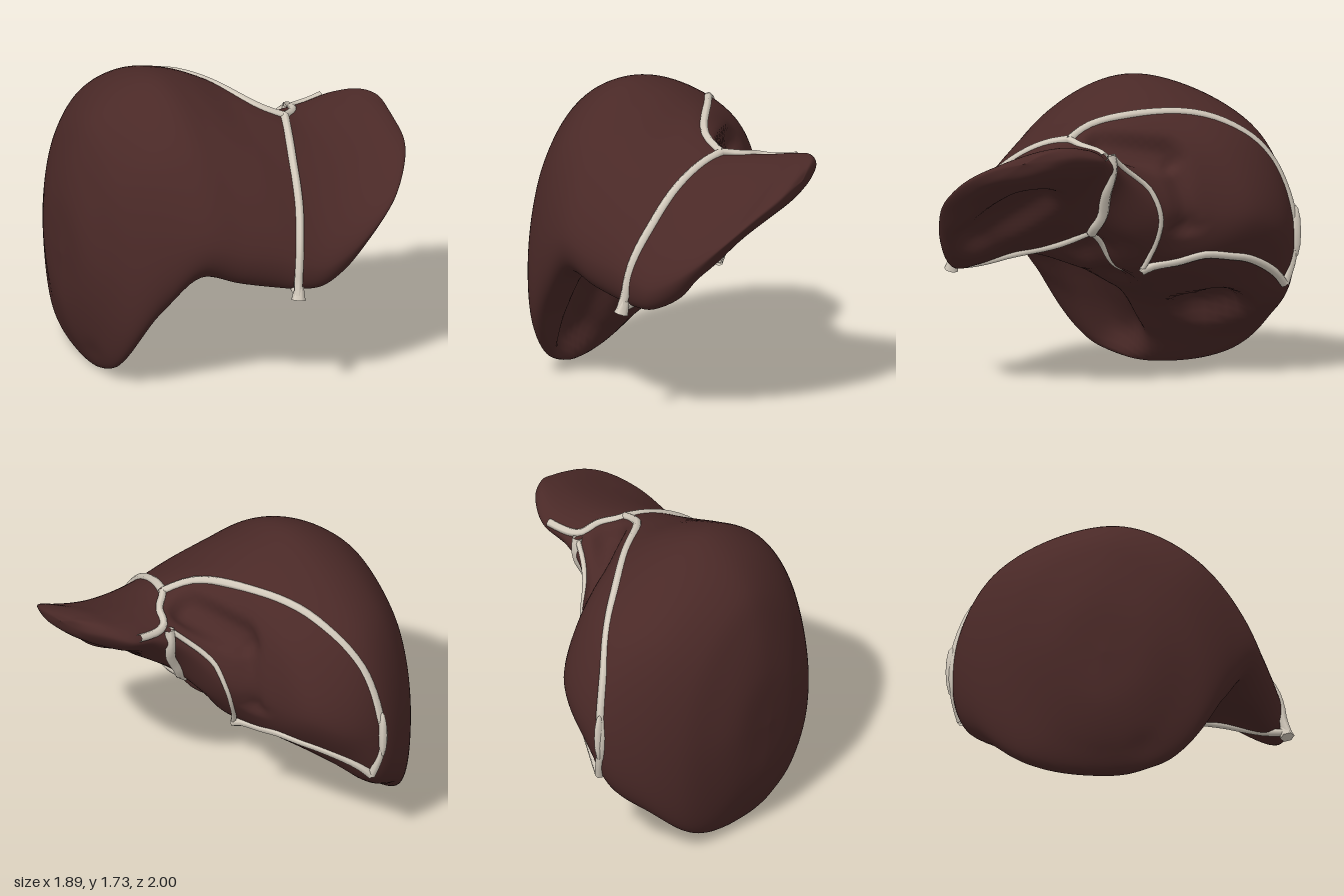
import * as THREE from 'three';
import { mergeVertices } from 'three/addons/utils/BufferGeometryUtils.js';

// Cross-sections: x, then nine z,y pairs running back, top, front, underside
const rightLobe = [
  [-0.93, -.34, .75, -.26, .97, -.09, 1.06, .10, .95, .18, .75, .14, .53, .03, .40, -.10, .36, -.26, .50],
  [-0.86, -.53, .72, -.41, 1.13, -.08, 1.33, .22, 1.13, .36, .75, .31, .41, .14, .19, -.08, .13, -.38, .26],
  [-0.77, -.70, .72, -.53, 1.27, -.06, 1.51, .33, 1.27, .51, .77, .48, .35, .28, .09, -.07, 0, -.57, .14],
  [-0.60, -.87, .76, -.65, 1.40, -.03, 1.66, .43, 1.43, .66, .88, .61, .57, .32, .38, -.08, .18, -.77, .31],
  [-0.40, -.96, .84, -.73, 1.43, -.01, 1.73, .50, 1.48, .78, .96, .72, .78, .37, .65, -.05, .41, -.85, .44],
  [-0.20, -.93, .88, -.71, 1.41, -.04, 1.69, .55, 1.42, .85, .90, .78, .72, .42, .70, 0, .52, -.72, .60],
  [0.00, -.79, .98, -.58, 1.38, -.05, 1.60, .59, 1.35, .90, .87, .84, .68, .46, .73, .03, .61, -.53, .73],
];
const leftLobe = [
  [0.12, -.51, 1.0, -.39, 1.31, .05, 1.54, .60, 1.31, .93, .84, .89, .67, .52, .75, .10, .68, -.30, .78],
  [0.25, -.29, 1.05, -.20, 1.28, .15, 1.48, .60, 1.28, .96, .80, .91, .67, .55, .80, .15, .87, -.15, .90],
  [0.40, -.11, 1.25, -.04, 1.37, .20, 1.43, .60, 1.26, .96, .86, .89, .74, .56, .87, .20, 1.0, 0, 1.10],
  [0.55, -.06, 1.34, 0, 1.41, .20, 1.43, .60, 1.26, .94, .96, .86, .88, .56, .99, .25, 1.10, .03, 1.22],
  [0.72, -.05, 1.39, .02, 1.45, .22, 1.45, .60, 1.29, .88, 1.11, .80, 1.08, .55, 1.13, .28, 1.20, .06, 1.28],
  [0.85, .05, 1.43, .10, 1.48, .25, 1.47, .53, 1.37, .74, 1.25, .68, 1.22, .50, 1.23, .30, 1.27, .13, 1.34],
  [0.92, .16, 1.43, .20, 1.47, .30, 1.45, .45, 1.40, .59, 1.33, .54, 1.30, .42, 1.31, .30, 1.34, .21, 1.38],
];
const SIDES = 9;

// Hollows: a line, radius, depth, and how far up a face may still look (normal y)
const hollows = [
  // Gall bladder bed and kidney dent
  { from: [-.33, .64, .32], to: [-.66, .2, .12], radius: .15, depth: .11, up: .2 },
  { from: [-.42, .42, -.40], to: [-.38, .45, -.53], radius: .14, depth: .1, up: .2 },
  // Stomach dent under the left lobe
  { from: [.45, .93, .72], to: [.62, 1.14, .38], radius: .15, depth: .09, up: .2 },
  // Gateway of the vessels
  { from: [.18, .8, .1], to: [-.05, .62, .03], radius: .1, depth: .05, up: .2 },
  // Vein groove over the top and down beside the tail lobe
  { from: [.29, 1.42, .02], to: [.14, 1.34, -.3], radius: .09, depth: .07, up: 1.5 },
  { from: [.13, 1.3, -.36], to: [.12, .95, -.42], radius: .07, depth: .04, up: 1.5 },
];

const vec = (p) => new THREE.Vector3(...p);

// Smooth skin through all cross-sections, closed to a point at both ends
function skinGeometry(along = 150, around = 120) {
  const rings = [...rightLobe, ...leftLobe].map(([x, ...s]) =>
    Array.from({ length: SIDES }, (_, i) => new THREE.Vector3(x, s[2 * i + 1], s[2 * i])));
  const tip = (x, y, z) => Array.from({ length: SIDES }, () => new THREE.Vector3(x, y, z));
  rings.unshift(tip(-.95, .7, -.08));
  rings.push(tip(.945, 1.4, .36));
  const guides = Array.from({ length: SIDES }, (_, i) =>
    new THREE.CatmullRomCurve3(rings.map((r) => r[i])));

  const positions = [], index = [];
  for (let u = 0; u <= along; u++) {
    // Ends are sampled more finely so that they stay round
    const t = u / along;
    const ease = t - Math.sin(2 * Math.PI * t) * .1;
    const knots = guides.map((g) => g.getPoint(ease));
    const atTip = u === 0 || u === along;
    const ring = atTip ? null : new THREE.CatmullRomCurve3(knots, true);
    for (let v = 0; v < around; v++) {
      const p = atTip ? knots[0] : ring.getPoint(v / around);
      positions.push(p.x, p.y, p.z);
      if (u < along) {
        const a = u * around + v, b = u * around + (v + 1) % around;
        index.push(a, b, a + around, b, b + around, a + around);
      }
    }
  }
  let geometry = new THREE.BufferGeometry();
  geometry.setAttribute('position', new THREE.Float32BufferAttribute(positions, 3));
  geometry.setIndex(index);
  geometry = mergeVertices(geometry, 1e-5);
  geometry.computeVertexNormals();
  pressHollows(geometry);
  geometry.computeVertexNormals();
  return geometry;
}

// Push the skin inwards near each hollow
function pressHollows(geometry) {
  const pos = geometry.attributes.position, nor = geometry.attributes.normal;
  const p = new THREE.Vector3(), n = new THREE.Vector3(), c = new THREE.Vector3();
  for (const h of hollows) {
    const line = new THREE.Line3(vec(h.from), vec(h.to));
    for (let i = 0; i < pos.count; i++) {
      p.fromBufferAttribute(pos, i);
      n.fromBufferAttribute(nor, i);
      const facing = THREE.MathUtils.smoothstep(-n.y, -h.up, .5 - h.up);
      const d = line.closestPointToPoint(p, true, c).distanceTo(p) / h.radius;
      p.addScaledVector(n, -h.depth * facing * Math.exp(-(d ** 4)));
      pos.setXYZ(i, p.x, p.y, p.z);
    }
  }
}

// Band that follows the skin along a path; its two ends stay where given
function ligament(name, path, radius, skin, material) {
  const pos = skin.attributes.position, q = new THREE.Vector3();
  const points = new THREE.CatmullRomCurve3(path.map(vec)).getPoints(path.length * 2);
  const last = points.length - 1;
  const laid = points.map((p, i) => {
    if (i === 0 || i === last) return p;
    const best = new THREE.Vector3();
    let nearest = Infinity;
    for (let k = 0; k < pos.count; k++) {
      const d = q.fromBufferAttribute(pos, k).distanceToSquared(p);
      if (d < nearest) { nearest = d; best.copy(q); }
    }
    return best;
  });
  // Even out the steps left by laying it on the skin
  const smooth = laid.map((p, i) => (i === 0 || i === last ? p
    : p.clone().multiplyScalar(2).add(laid[i - 1]).add(laid[i + 1]).divideScalar(4)));
  const curve = new THREE.CatmullRomCurve3(smooth);
  const mesh = new THREE.Mesh(new THREE.TubeGeometry(curve, laid.length * 2, radius, 6), material);
  mesh.name = name;
  return mesh;
}

export function createModel() {
  const model = new THREE.Group();
  model.name = 'liver';
  const tissue = new THREE.MeshStandardMaterial({ color: 0x4a2927, side: THREE.DoubleSide });
  const band = new THREE.MeshStandardMaterial({ color: 0xd6cdbf, side: THREE.DoubleSide });

  const skin = skinGeometry();
  const lobes = new THREE.Mesh(skin, tissue);
  lobes.name = 'lobes';
  model.add(lobes);

  const add = (name, radius, path) => model.add(ligament(name, path, radius, skin, band));
  // Front band between the two lobes
  add('falciformLigament', .027, [[.33, 1.45, .22], [.25, 1.36, .5], [.17, 1.12, .77], [.1, .85, .93], [.08, .66, .96]]);
  // Band over the dome and down the back
  add('upperCoronaryLigament', .026, [[.33, 1.45, .22], [.17, 1.53, .12], [.03, 1.58, -.16], [-.15, 1.56, -.5],
    [-.3, 1.36, -.76], [-.38, 1.0, -.96], [-.4, .8, -.98], [-.35, .54, -.91]]);
  // Band returning along the lower edge of the bare area
  add('lowerCoronaryLigament', .026, [[-.35, .54, -.91], [-.24, .69, -.81], [-.1, .78, -.65], [0, .77, -.5], [.06, .71, -.33], [.1, .66, -.16]]);
  // Band to the left lobe
  add('leftTriangularLigament', .024, [[.33, 1.45, .22], [.43, 1.43, .12], [.47, 1.4, -.03], [.68, 1.41, -.05]]);
  // Two bands either side of the tail lobe
  add('venaCavaBand', .016, [[.1, .66, -.16], [.2, .85, -.28], [.26, 1.05, -.3], [.32, 1.22, -.25], [.46, 1.38, -.06]]);
  add('lesserLigament', .032, [[.47, 1.39, -.05], [.44, 1.2, -.03], [.36, 1.02, .02], [.26, .9, .1]]);
  // Bands across the gateway and forward under the falciform
  add('gatewayBand', .018, [[.26, .9, .1], [.16, .78, .05], [-.02, .65, -.05]]);
  add('roundLigament', .022, [[.26, .9, .12], [.2, .8, .35], [.13, .73, .65], [.08, .66, .96]]);

  // Flared front end of the round ligament
  const flare = new THREE.Mesh(new THREE.CylinderGeometry(.025, .042, .08, 6), band);
  flare.position.set(.09, .67, .95);
  flare.rotation.set(-.25, 0, -.2);
  flare.name = 'roundLigamentEnd';
  model.add(flare);
  // Raised peak where the coronary bands turn at the back
  const peak = new THREE.Mesh(new THREE.SphereGeometry(.035, 8, 6), band);
  peak.scale.set(.7, 4.5, 1);
  peak.position.set(-.39, .84, -.965);
  peak.name = 'coronaryPeak';
  model.add(peak);
  return model;
}
